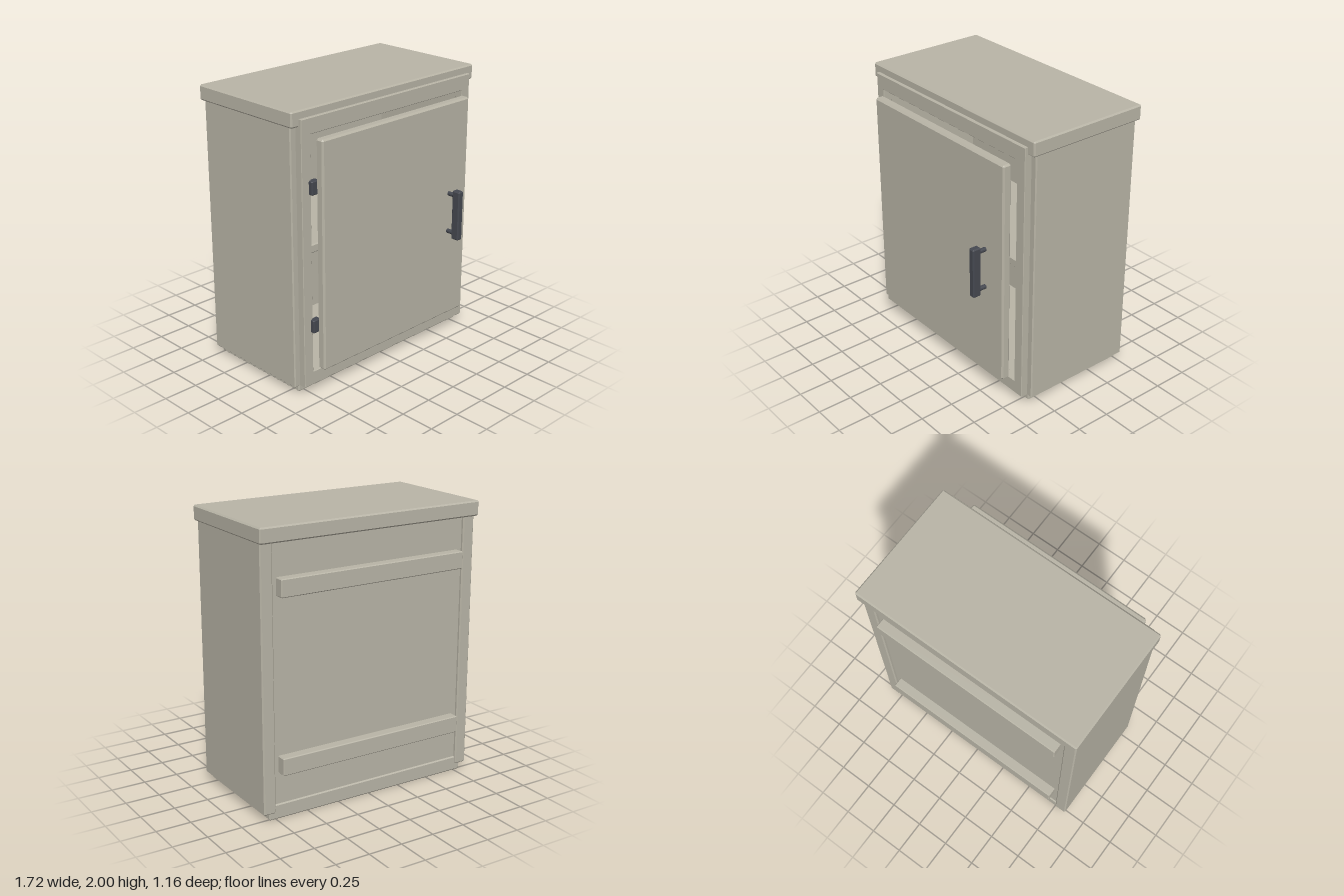
import * as THREE from 'three';
import { ConvexGeometry } from 'three/addons/geometries/ConvexGeometry.js';

const paint = new THREE.MeshStandardMaterial({ color: 0xb8b4a6, flatShading: true });
const dark = new THREE.MeshStandardMaterial({ color: 0x454850, flatShading: true });

// Box given by its extents, with every edge chamfered by c
function chamferBox(name, [x0, x1], [y0, y1], [z0, z1], c = 0.008, material = paint) {
  const half = [(x1 - x0) / 2, (y1 - y0) / 2, (z1 - z0) / 2];
  const points = [];
  for (const sx of [-1, 1]) for (const sy of [-1, 1]) for (const sz of [-1, 1]) {
    for (let axis = 0; axis < 3; axis++) {
      const p = half.map((h, i) => (i === axis ? h : h - c));
      points.push(new THREE.Vector3(p[0] * sx, p[1] * sy, p[2] * sz));
    }
  }
  const mesh = new THREE.Mesh(new ConvexGeometry(points), material);
  mesh.position.set((x0 + x1) / 2, (y0 + y1) / 2, (z0 + z1) / 2);
  mesh.name = name;
  return mesh;
}

function rectangle(path, x, y0, y1) {
  path.moveTo(-x, y0);
  path.lineTo(x, y0);
  path.lineTo(x, y1);
  path.lineTo(-x, y1);
  path.closePath();
  return path;
}

// Face frame around the door opening
function createFrame() {
  const b = 0.004;
  const shape = rectangle(new THREE.Shape(), 0.8 - b, 0.062 + b, 1.945 - b);
  shape.holes.push(rectangle(new THREE.Path(), 0.722 + b, 0.16 - b, 1.836 + b));
  const geometry = new THREE.ExtrudeGeometry(shape, {
    depth: 0.062 - 2 * b, bevelEnabled: true, bevelSize: b, bevelThickness: b, bevelSegments: 1,
  });
  const frame = new THREE.Mesh(geometry, paint);
  frame.position.z = 0.315 + b;
  frame.name = 'frontFrame';
  return frame;
}

// Upright bar on two round standoffs
function createHandle() {
  const handle = new THREE.Group();
  handle.name = 'handle';
  handle.add(chamferBox('handleBar', [0.492, 0.54], [0.814, 1.182], [0.515, 0.58], 0.008, dark));
  for (const y of [0.855, 1.141]) {
    const post = new THREE.Mesh(new THREE.CylinderGeometry(0.016, 0.016, 0.075, 12), dark);
    post.rotation.x = Math.PI / 2;
    post.position.set(0.516, y, 0.49);
    post.name = 'handlePost';
    handle.add(post);
  }
  return handle;
}

export function createModel() {
  const cabinet = new THREE.Group();
  cabinet.name = 'cabinet';

  // Carcass
  cabinet.add(
    chamferBox('lid', [-0.86, 0.86], [1.893, 2], [-0.562, 0.355], 0.01),
    chamferBox('rightSide', [-0.845, -0.755], [0.055, 1.91], [-0.53, 0.325]),
    chamferBox('leftSide', [0.755, 0.845], [0.055, 1.91], [-0.53, 0.325]),
    chamferBox('bottomPanel', [-0.8, 0.8], [0.004, 0.11], [-0.518, 0.312]),
    chamferBox('backPanel', [-0.77, 0.77], [0.08, 1.91], [-0.508, -0.44]),
    chamferBox('shelf', [-0.765, 0.765], [0.97, 1.033], [-0.46, 0.28]),
    createFrame(),
  );

  // Mounting rails across the back
  for (const y of [0.33, 1.54]) {
    cabinet.add(chamferBox('mountingRail', [-0.72, 0.72], [y, y + 0.123], [-0.577, -0.49], 0.006));
  }

  // Door with its hinges and handle
  cabinet.add(chamferBox('door', [-0.7, 0.7], [0.188, 1.812], [0.398, 0.464], 0.012));
  for (const y of [0.46, 1.438]) {
    cabinet.add(chamferBox('hinge', [-0.742, -0.676], [y, y + 0.095], [0.36, 0.407], 0.006, dark));
  }
  cabinet.add(createHandle());
  return cabinet;
}
